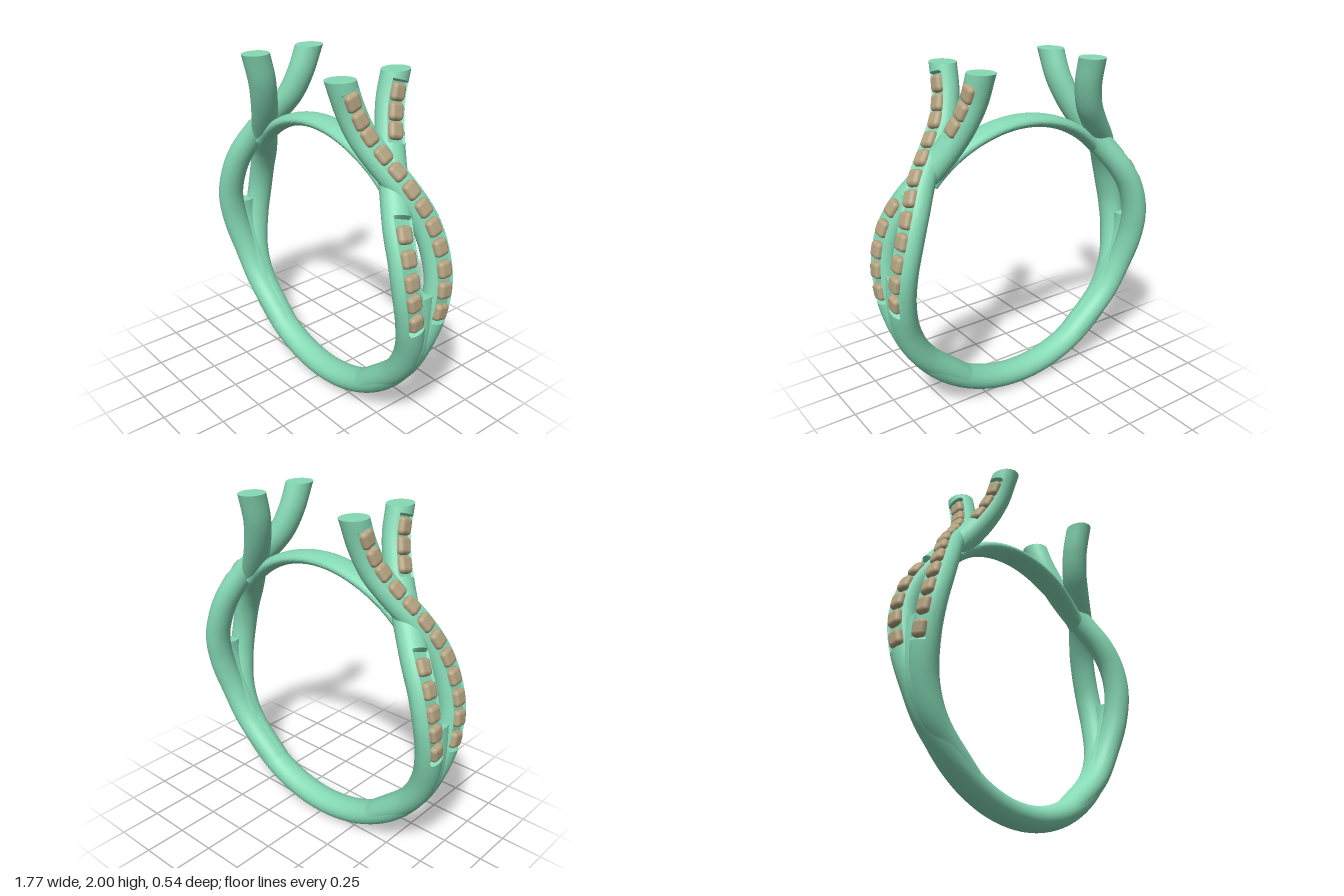
import * as THREE from 'three';
import { toCreasedNormals } from 'three/addons/utils/BufferGeometryUtils.js';
import { RoundedBoxGeometry } from 'three/addons/geometries/RoundedBoxGeometry.js';

const CY = 0.885; // height of the ring centre
const TOP = 2;
const metal = new THREE.MeshStandardMaterial({ color: 0x85d9b5 });
const gem = new THREE.MeshStandardMaterial({ color: 0xb5a381 });

// Frame on a path: tangent T, outward normal N (in the ring plane), sideways B
function frameAt(curve, t) {
  const P = curve.getPoint(t);
  const T = curve.getTangent(t);
  const N = new THREE.Vector3(T.y, -T.x, 0).normalize();
  const B = new THREE.Vector3().crossVectors(T, N);
  return { P, T, N, B };
}

// Sweep an oval section; radii(t) gives [radial, sideways] half sizes,
// channel(y) tells where a stone channel is cut into the outer face
function sweep(curve, segs, sides, radii, channel = () => false, flatTop = false) {
  const pos = [], index = [];
  for (let i = 0; i <= segs; i++) {
    const t = i / segs;
    const { P, T, N, B } = frameAt(curve, t);
    const [rn, rb] = radii(t);
    const cut = channel(P.y);
    for (let j = 0; j < sides; j++) {
      const a = (j / sides) * Math.PI * 2;
      let n = Math.cos(a) * rn;
      const b = Math.sin(a) * rb;
      if (cut && n > 0 && Math.abs(b) < 0.05) n = Math.min(n, 0.038);
      const v = P.clone().addScaledVector(N, n).addScaledVector(B, b);
      // level cut at the top
      if (flatTop && (v.y > TOP || i === segs)) v.addScaledVector(T, (TOP - v.y) / T.y);
      pos.push(v.x, v.y, v.z);
    }
  }
  const start = curve.getPoint(0), end = curve.getPoint(1);
  const c0 = pos.length / 3, c1 = c0 + 1;
  pos.push(start.x, start.y, start.z, end.x, end.y, end.z);
  for (let j = 0; j < sides; j++) {
    const k = (j + 1) % sides;
    for (let i = 0; i < segs; i++) {
      const a = i * sides + j, b = i * sides + k;
      index.push(a, b, a + sides, b, b + sides, a + sides);
    }
    index.push(c0, k, j, c1, segs * sides + j, segs * sides + k);
  }
  const geo = new THREE.BufferGeometry();
  geo.setAttribute('position', new THREE.Float32BufferAttribute(pos, 3));
  geo.setIndex(index);
  return toCreasedNormals(geo, 0.7);
}

// Circular arc around the ring centre, angles in degrees
function arc(radius, from, to) {
  const pts = [];
  for (let i = 0; i <= 40; i++) {
    const a = THREE.MathUtils.degToRad(from + ((to - from) * i) / 40);
    pts.push(new THREE.Vector3(Math.cos(a) * radius, CY + Math.sin(a) * radius, 0));
  }
  return new THREE.CatmullRomCurve3(pts);
}

// Path of a strand: x, y, z, and how much it is lifted at the crossing
const strandPath = [
  [0.406, 0.181, -0.004, 0], [0.666, 0.419, -0.015, 0], [0.763, 0.607, -0.036, 0],
  [0.809, 0.814, -0.083, 0], [0.805, 0.998, -0.113, 0], [0.763, 1.163, -0.111, 0],
  [0.702, 1.3, -0.085, 0.5], [0.61, 1.45, -0.02, 1], [0.495, 1.6, 0.048, 0.5],
  [0.42, 1.72, 0.095, 0], [0.375, 1.85, 0.137, 0], [0.357, 2, 0.185, 0],
];
const stoneHeights = [0.84, 0.955, 1.06, 1.17, 1.27, 1.365, 1.45, 1.53, 1.61, 1.7, 1.79, 1.89];

// Parameter at which an upward path reaches height y
function paramAtHeight(curve, y) {
  let lo = 0, hi = 1;
  for (let i = 0; i < 30; i++) {
    const mid = (lo + hi) / 2;
    if (curve.getPoint(mid).y < y) lo = mid; else hi = mid;
  }
  return lo;
}

const stoneGeo = new RoundedBoxGeometry(0.056, 0.086, 0.094, 2, 0.024);

function makeStrand(over) {
  const group = new THREE.Group();
  group.name = over ? 'overStrand' : 'underStrand';
  const side = over ? 1 : -1;
  const lift = over ? 0.015 : -0.02;
  const curve = new THREE.CatmullRomCurve3(strandPath.map(([x, y, z, k]) =>
    new THREE.Vector3(x + lift * k * 0.8, y + lift * k * 0.6, z * side)));
  // the lower strand has no stones where it passes beneath
  const hidden = (y) => !over && y > 1.34 && y < 1.64;
  const channel = (y) => y > 0.785 && y < 1.95 && !hidden(y);

  const tube = new THREE.Mesh(sweep(curve, 170, 48, () => [0.071, 0.08], channel, true), metal);
  tube.name = 'strandTube';
  group.add(tube);

  for (const y of stoneHeights.filter((h) => !hidden(h))) {
    const { P, T, N, B } = frameAt(curve, paramAtHeight(curve, y));
    const stone = new THREE.Mesh(stoneGeo, gem);
    stone.name = 'stone';
    stone.quaternion.setFromRotationMatrix(new THREE.Matrix4().makeBasis(N, B, T));
    stone.position.copy(P).addScaledVector(N, 0.043);
    group.add(stone);
  }
  return group;
}

export function createModel() {
  const model = new THREE.Group();
  model.name = 'ring';

  // Lower band, thinning as it runs in between the strands
  const shank = new THREE.Mesh(sweep(arc(0.8125, -184, 4), 120, 40, (t) => {
    const e = THREE.MathUtils.smoothstep(Math.abs(t - 0.5) * 2, 0.7, 1);
    return [0.0725 - 0.035 * e, 0.085 - 0.01 * e];
  }), metal);
  shank.name = 'shank';
  model.add(shank);

  // Thin bridge closing the ring beneath the open shoulders
  const bridge = new THREE.Mesh(sweep(arc(0.777, 43, 137), 80, 32, (t) => {
    const e = THREE.MathUtils.smoothstep(Math.abs(t - 0.5) * 2, 0.3, 1);
    return [0.037, 0.08 - 0.018 * e];
  }), metal);
  bridge.name = 'bridge';
  model.add(bridge);

  // Crossing shoulders, the second turned half way round
  for (let i = 0; i < 2; i++) {
    const shoulder = new THREE.Group();
    shoulder.name = i ? 'rightShoulder' : 'leftShoulder';
    shoulder.add(makeStrand(true), makeStrand(false));
    shoulder.rotation.y = i * Math.PI;
    model.add(shoulder);
  }
  return model;
}
